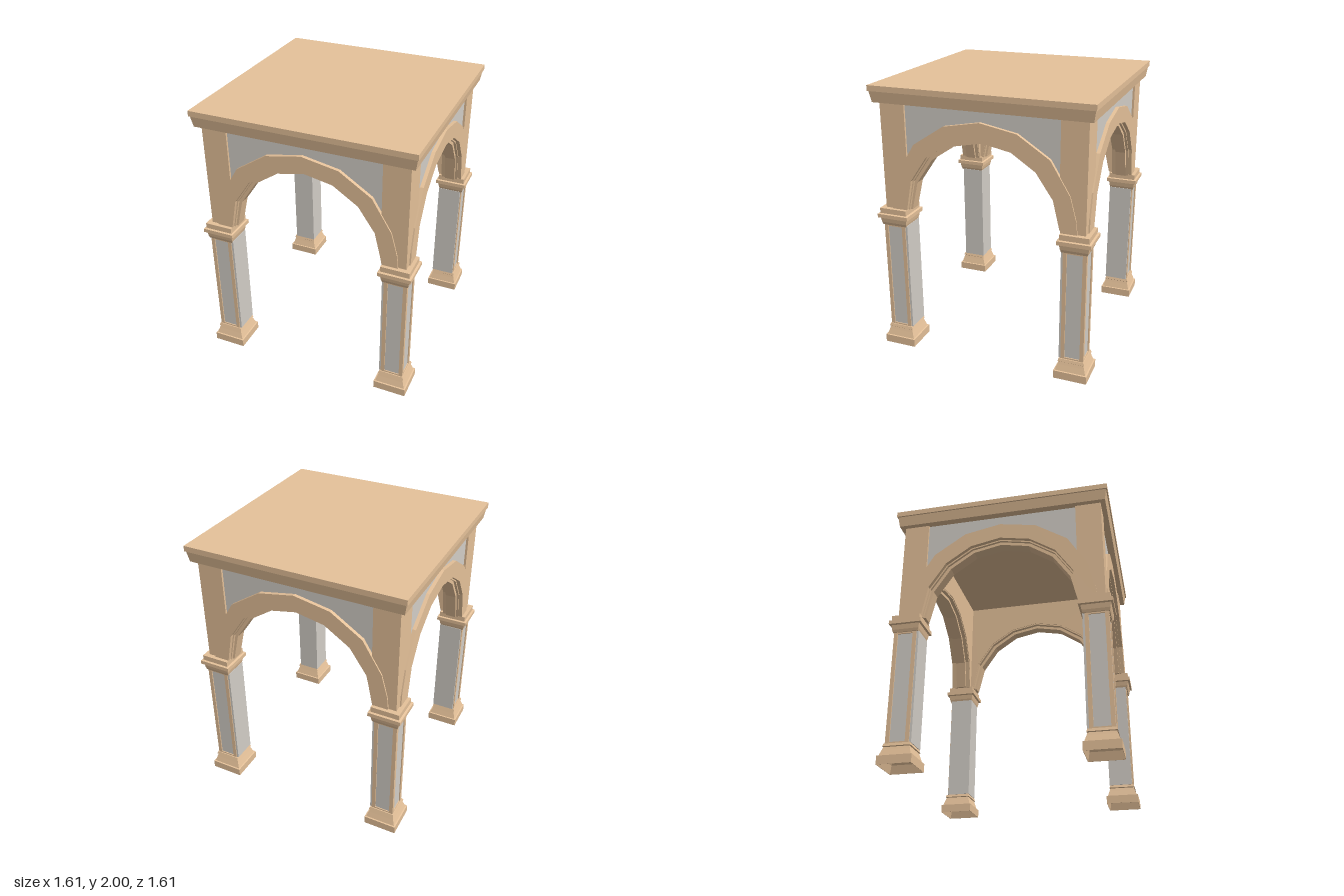
import * as THREE from 'three';

const stone = new THREE.MeshStandardMaterial({ color: 0xe6c29a });
stone.name = 'sandstone';
const plaster = new THREE.MeshStandardMaterial({ color: 0xd4cfc8 });
plaster.name = 'greyPlaster';

function add(parent, name, geometry, material, x = 0, y = 0, z = 0) {
  const mesh = new THREE.Mesh(geometry, material);
  mesh.name = name;
  mesh.position.set(x, y, z);
  parent.add(mesh);
  return mesh;
}

function box(parent, name, material, x0, x1, y0, y1, z0, z1) {
  return add(parent, name, new THREE.BoxGeometry(x1 - x0, y1 - y0, z1 - z0), material,
    (x0 + x1) / 2, (y0 + y1) / 2, (z0 + z1) / 2);
}

// Square moulding from [half width, height] pairs, bottom to top
function squareMoulding(profile) {
  const points = profile.map(([r, y]) => new THREE.Vector2(r * Math.SQRT2, y));
  const geometry = new THREE.LatheGeometry(points, 4).rotateY(Math.PI / 4).toNonIndexed();
  geometry.computeVertexNormals();
  return geometry;
}

// Half outlines of the faceted arch, from springing to crown
const extrados = [[0.69, 1.1], [0.68, 1.2], [0.635, 1.37], [0.495, 1.6], [0.265, 1.75], [0, 1.8]];
const faceCurve = [[0.575, 1.1], [0.53, 1.33], [0.405, 1.515], [0.22, 1.637], [0, 1.68]];
const stepCurve = [[0.568, 1.1], [0.522, 1.323], [0.398, 1.507], [0.215, 1.628], [0, 1.67]];
const soffitCurve = [[0.553, 1.1], [0.503, 1.31], [0.38, 1.49], [0.205, 1.607], [0, 1.648]];
// Lower edge of the grey field, tucked behind the outer arch
const fieldCurve = [[0.56, 1.45], [0.48, 1.58], [0.26, 1.73], [0, 1.78]];
// Outer face of a corner pier
const pierOutline = [[0.746, 1.1], [0.746, 1.885], [0.56, 1.885], [0.56, 1.35], [0.6, 1.1]];

const mirrored = (outline) => outline.map(([x, y]) => [-x, y]);
const fullArch = (half) => [...half, ...mirrored(half.slice(0, -1)).reverse()];

function slab(outline, z0, z1) {
  const shape = new THREE.Shape(outline.map(([x, y]) => new THREE.Vector2(x, y)));
  return new THREE.ExtrudeGeometry(shape, { depth: z1 - z0, bevelEnabled: false }).translate(0, 0, z0);
}

function archRing(outer, inner, z0, z1) {
  return slab([...fullArch(outer), ...fullArch(inner).reverse()], z0, z1);
}

// Wall field above a curve, bounded by a straight top
function spandrel(halfWidth, curve, z0, z1) {
  return slab([[halfWidth, 1.1], [halfWidth, 1.88], [-halfWidth, 1.88], [-halfWidth, 1.1],
    ...fullArch(curve).reverse()], z0, z1);
}

function createPillar() {
  const pillar = new THREE.Group();
  pillar.name = 'pillar';
  // Base, hollow underneath
  add(pillar, 'pillarBase', squareMoulding([[0, 0.12], [0.08, 0.12], [0.108, 0.06], [0.12, 0],
    [0.122, 0], [0.122, 0.06], [0.112, 0.062], [0.098, 0.105], [0.092, 0.125], [0.098, 0.13],
    [0.092, 0.15], [0, 0.15]]), stone);
  add(pillar, 'capital', squareMoulding([[0, 0.975], [0.092, 0.975], [0.098, 0.995], [0.104, 1.03],
    [0.119, 1.034], [0.119, 1.062], [0.104, 1.066], [0.104, 1.105], [0, 1.105]]), stone);

  // Grey shaft in a stone frame
  box(pillar, 'shaftPanels', plaster, -0.074, 0.078, 0.14, 0.98, -0.074, 0.078);
  for (const x of [-0.067, 0.072]) for (const z of [-0.067, 0.072]) {
    add(pillar, 'shaftCornerPost', new THREE.BoxGeometry(0.028, 0.84, 0.028), stone, x, 0.56, z);
  }
  for (const y of [0.152, 0.973]) {
    add(pillar, 'shaftRail', new THREE.BoxGeometry(0.164, 0.018, 0.164), stone, 0.003, y, 0.003);
  }
  // Plain faces toward the middle of the pavilion
  box(pillar, 'innerFace', plaster, -0.096, -0.08, 0.15, 0.98, -0.096, 0.08);
  box(pillar, 'innerFace', plaster, -0.08, 0.08, 0.15, 0.98, -0.096, -0.08);
  pillar.position.set(0.677, 0, 0.677);
  return pillar;
}

function createSide() {
  const side = new THREE.Group();
  side.name = 'side';
  side.add(createPillar());

  // Corner piers above the capitals
  for (const outline of [pierOutline, mirrored(pierOutline)]) {
    add(side, 'cornerPier', slab(outline, 0.72, 0.746), stone);
  }

  // Wall faces and the stepped arch rings between them
  add(side, 'innerWall', spandrel(0.6, faceCurve, 0.595, 0.607), stone);
  add(side, 'spandrelPanel', slab([[0.56, 1.88], [-0.56, 1.88], ...fullArch(fieldCurve).reverse()],
    0.722, 0.73), plaster);
  add(side, 'outerArch', archRing(extrados, faceCurve, 0.715, 0.756), stone);
  add(side, 'stepRing', archRing(faceCurve, stepCurve, 0.6, 0.728), stone);
  add(side, 'soffitRing', archRing(stepCurve, soffitCurve, 0.63, 0.71), stone);
  return side;
}

export function createModel() {
  const model = new THREE.Group();
  model.name = 'archedPavilion';

  for (let i = 0; i < 4; i++) {
    const side = createSide();
    side.rotation.y = i * Math.PI / 2;
    model.add(side);
  }

  // Flat roof with a flared cornice
  add(model, 'roof', squareMoulding([[0, 1.88], [0.782, 1.88], [0.795, 1.958], [0.803, 1.96],
    [0.803, 2], [0, 2]]), stone);
  return model;
}
